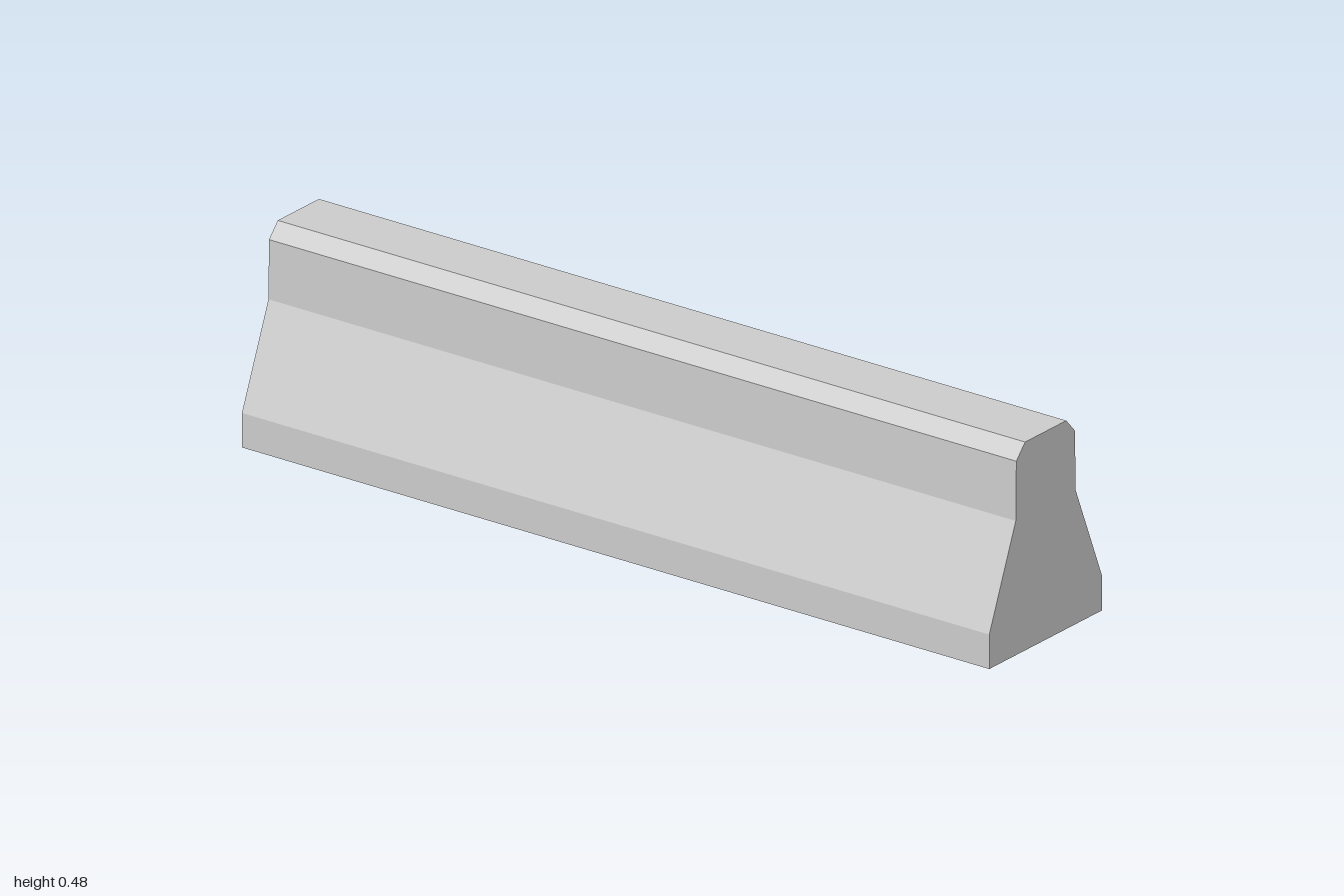
import * as THREE from 'three';

export function createModel() {
  const group = new THREE.Group();
  group.name = 'roadBarrier';

  // Half of the cross-section, from the foot up to the chamfered top
  const half = [
    [0.2, 0],
    [0.2, 0.08],
    [0.106, 0.312],
    [0.104, 0.45],
    [0.073, 0.484],
  ];
  const mirrored = half.map(([x, y]) => [-x, y]).reverse();
  const outline = [...half, ...mirrored].map(([x, y]) => new THREE.Vector2(x, y));

  // Barrier body: the section swept along z
  const length = 2;
  const geometry = new THREE.ExtrudeGeometry(new THREE.Shape(outline), {
    depth: length,
    bevelEnabled: false,
  });
  geometry.translate(0, 0, -length / 2);

  const material = new THREE.MeshStandardMaterial({ color: 0xcccccc, flatShading: true });
  const body = new THREE.Mesh(geometry, material);
  body.name = 'barrierBody';
  group.add(body);

  return group;
}
